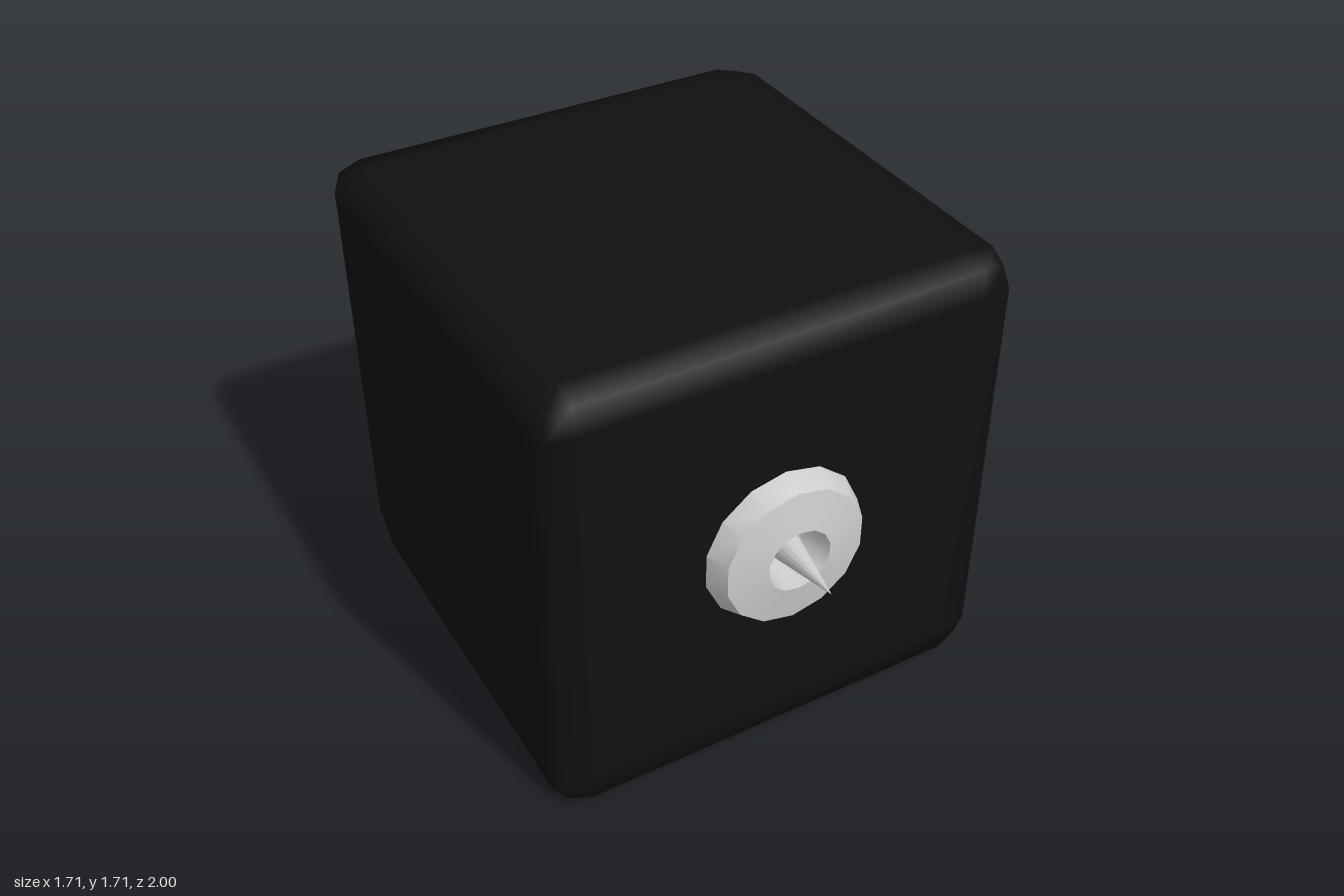
import * as THREE from 'three';
import { mergeVertices, toCreasedNormals } from 'three/addons/utils/BufferGeometryUtils.js';

const HALF = 0.855, FLAT = 0.735; // half size of the block, half size of its flat faces
const CX = -0.008, CY = 0.877;    // centre of the spout

// Block with softened edges: outer grid vertices are pulled in on edges and corners
function blockGeometry() {
  let geo = new THREE.BoxGeometry(2, 2, 2, 3, 3, 3);
  geo.deleteAttribute('uv');
  geo.deleteAttribute('normal');
  geo = mergeVertices(geo);
  const pos = geo.attributes.position;
  for (let i = 0; i < pos.count; i++) {
    const p = [pos.getX(i), pos.getY(i), pos.getZ(i)];
    const outer = p.filter(v => Math.abs(v) > 0.9).length;
    const reach = [0, HALF, 0.84, 0.82][outer];
    pos.setXYZ(i, ...p.map(v => Math.sign(v) * (Math.abs(v) > 0.9 ? reach : FLAT)));
  }
  geo.computeVertexNormals();
  // leave the middle of the front open for the drilled panel
  const kept = [], idx = geo.index.array;
  for (let i = 0; i < idx.length; i += 3) {
    const tri = [idx[i], idx[i + 1], idx[i + 2]];
    if (!tri.every(v => pos.getZ(v) > HALF - 0.001)) kept.push(...tri);
  }
  geo.setIndex(kept);
  return geo;
}

export function createModel() {
  const model = new THREE.Group();
  const black = new THREE.MeshStandardMaterial({ color: 0x101010, side: THREE.DoubleSide });
  const grey = new THREE.MeshStandardMaterial({ color: 0xcccccc, side: THREE.DoubleSide });
  const add = (name, geo, mat, x, y, z) => {
    const mesh = new THREE.Mesh(geo, mat);
    mesh.name = name;
    mesh.position.set(x, y, z);
    model.add(mesh);
  };

  add('block', blockGeometry(), black, 0, HALF, -0.145);

  // Front panel with a round hole behind the collar
  const panel = new THREE.Shape([[-1, -1], [1, -1], [1, 1], [-1, 1]]
    .map(([x, y]) => new THREE.Vector2(x * FLAT, y * FLAT)));
  panel.holes.push(new THREE.Path().absarc(CX, CY - HALF, 0.2, 0, Math.PI * 2, true));
  add('frontPanel', new THREE.ShapeGeometry(panel), black, 0, HALF, HALF - 0.145);

  // Fourteen-sided collar with a funnel-shaped opening
  const profile = [[0.3, 0.7], [0.3, 0.71], [0.265, 0.79], [0.12, 0.815], [0.09, 0.65]]
    .map(([r, z]) => new THREE.Vector2(r, z));
  const collar = new THREE.LatheGeometry(profile, 14).rotateX(Math.PI / 2);
  add('collar', toCreasedNormals(collar, 0.5), grey, CX, CY, 0);

  // Slender spike rising out of the collar
  add('spike', new THREE.ConeGeometry(0.09, 0.45, 14).rotateX(Math.PI / 2), grey, CX, CY, 0.775);
  return model;
}
